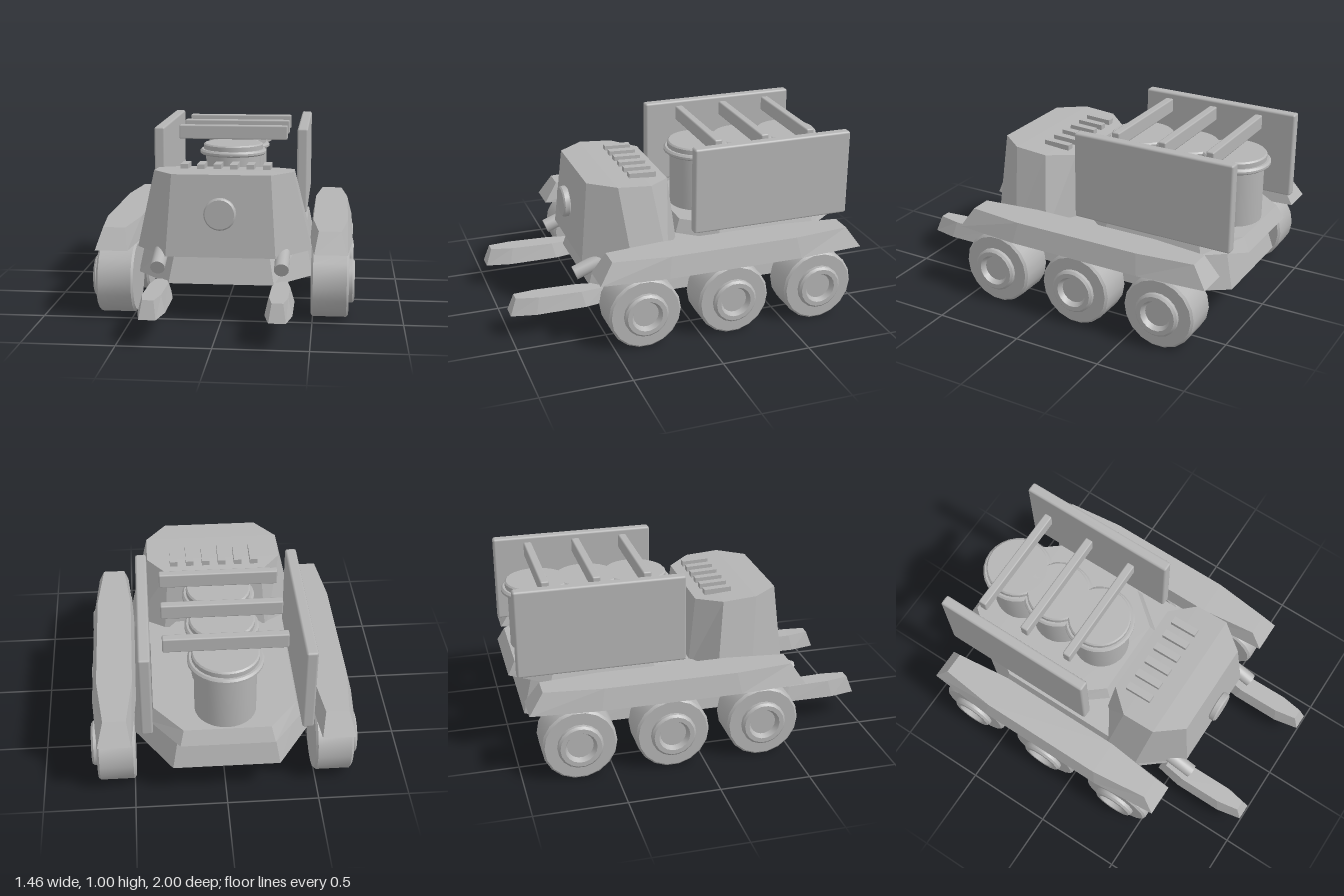
import * as THREE from 'three';
import { toCreasedNormals } from 'three/addons/utils/BufferGeometryUtils.js';
import { RoundedBoxGeometry } from 'three/addons/geometries/RoundedBoxGeometry.js';

// Octagonal ring, symmetric in x: narrow at the front and back, wide along the sides.
// zs = [front, front shoulder, back shoulder, back]; ys is one height or one per z.
function octagon(cx, endHalf, sideHalf, zs, ys) {
  const half = [endHalf, sideHalf, sideHalf, endHalf];
  const y = (i) => (Array.isArray(ys) ? ys[i] : ys);
  const ring = [];
  for (let i = 0; i < 4; i++) ring.push([cx + half[i], y(i), zs[i]]);
  for (let i = 3; i >= 0; i--) ring.push([cx - half[i], y(i), zs[i]]);
  return ring;
}

// Faceted solid through stacked rings, capped at both ends
function loft(rings) {
  const pos = [];
  const n = rings[0].length;
  const tri = (a, b, c) => pos.push(...a, ...b, ...c);
  for (let r = 0; r + 1 < rings.length; r++) {
    for (let i = 0; i < n; i++) {
      const j = (i + 1) % n, a = rings[r], b = rings[r + 1];
      tri(a[i], a[j], b[j]);
      tri(a[i], b[j], b[i]);
    }
  }
  const cap = (ring, up) => {
    for (let i = 0; i < n / 2 - 1; i++) {
      const a = ring[i], b = ring[i + 1], c = ring[n - 2 - i], d = ring[n - 1 - i];
      if (up) { tri(a, b, c); tri(a, c, d); } else { tri(a, c, b); tri(a, d, c); }
    }
  };
  cap(rings[0], false);
  cap(rings[rings.length - 1], true);
  const g = new THREE.BufferGeometry();
  g.setAttribute('position', new THREE.Float32BufferAttribute(pos, 3));
  g.computeVertexNormals();
  return g;
}

// Turned part with crisp edges, from [radius, height] pairs listed upwards
function turned(profile, sides) {
  const pts = profile.map(([r, y]) => new THREE.Vector2(r, y));
  return toCreasedNormals(new THREE.LatheGeometry(pts, sides), 0.5);
}

export function createModel() {
  const model = new THREE.Group();
  model.name = 'sixWheeledCarrier';
  const grey = new THREE.MeshStandardMaterial({ color: 0xb4b4b4 });
  grey.name = 'grey';

  const add = (name, geometry, x = 0, y = 0, z = 0) => {
    const mesh = new THREE.Mesh(geometry, grey);
    mesh.name = name;
    mesh.position.set(x, y, z);
    model.add(mesh);
    return mesh;
  };

  // Lower hull, widest at its base
  add('hull', loft([
    octagon(0, 0.29, 0.495, [0.53, 0.28, -0.62, -0.93], 0.22),
    octagon(0, 0.25, 0.45, [0.46, 0.24, -0.58, -0.87], 0.445),
  ]));

  // Raised rear deck, overhanging the hull
  add('rearDeck', loft([
    octagon(0, 0.25, 0.41, [0, -0.2, -0.79, -1.0], 0.445),
    octagon(0, 0.23, 0.385, [-0.03, -0.22, -0.77, -0.96], 0.52),
  ]));

  // Cab with a roof sloping down to the back
  add('cab', loft([
    octagon(0, 0.3, 0.49, [0.57, 0.33, 0.13, 0.01], 0.38),
    octagon(0, 0.27, 0.385, [0.525, 0.38, 0.19, 0.06], [0.827, 0.825, 0.811, 0.798]),
  ]));

  // Roof vents
  for (let i = 0; i < 6; i++) {
    const vent = add('roofVent', new THREE.BoxGeometry(0.043, 0.03, 0.155), (i - 2.5) * 0.093, 0.825, 0.197);
    vent.rotation.x = -0.04;
  }

  // Round lamp on the cab front
  const lamp = turned([[0, 0], [0.082, 0], [0.088, 0.006], [0.088, 0.032], [0.08, 0.04], [0, 0.04]], 20);
  lamp.rotateX(Math.PI / 2);
  add('frontLamp', lamp, 0, 0.623, 0.566);

  // Tanks on the deck, each under a cross bar
  const tank = turned([
    [0, 0.51], [0.165, 0.51], [0.165, 0.835], [0.19, 0.835], [0.2, 0.843], [0.2, 0.855],
    [0.19, 0.866], [0.178, 0.866], [0.178, 0.892], [0.17, 0.9], [0, 0.9],
  ], 28);
  for (const z of [-0.785, -0.505, -0.225]) {
    add('tank', tank, 0, 0, z);
    add('crossBar', new RoundedBoxGeometry(0.65, 0.084, 0.046, 1, 0.008), 0, 0.963, z);
  }

  // Wheel with a raised, hollow hub; its axis runs along x
  const wheel = turned([
    [0, 0.49], [0.192, 0.49], [0.204, 0.502], [0.204, 0.686], [0.192, 0.698], [0.124, 0.698],
    [0.124, 0.718], [0.112, 0.73], [0.087, 0.73], [0.072, 0.7], [0, 0.7],
  ], 18);
  wheel.rotateZ(-Math.PI / 2);

  for (const side of [1, -1]) {
    const label = side > 0 ? 'left' : 'right';

    for (const z of [0.33, -0.18, -0.69]) {
      add(label + 'Wheel', wheel, 0, 0.207, z).rotation.y = side > 0 ? 0 : Math.PI;
    }

    // Fender over the three wheels
    add(label + 'Fender', loft([
      octagon(side * 0.598, 0.09, 0.121, [0.575, 0.2, -0.57, -0.95], 0.407),
      octagon(side * 0.592, 0.062, 0.098, [0.5, 0.18, -0.55, -0.87], 0.522),
    ]));

    // Side board of the cargo bed
    add(label + 'SideBoard', new RoundedBoxGeometry(0.062, 0.495, 0.935, 1, 0.012), side * 0.42, 0.763, -0.507);

    // Prong reaching forward near the ground
    add(label + 'Prong', loft([
      octagon(side * 0.333, 0.045, 0.073, [1.0, 0.86, 0.58, 0.43], 0.148),
      octagon(side * 0.333, 0.03, 0.05, [0.965, 0.84, 0.6, 0.47], [0.244, 0.24, 0.234, 0.23]),
    ]));

    // Slanted pipe under the cab
    const pipe = toCreasedNormals(new THREE.CylinderGeometry(0.04, 0.04, 0.2, 16), 0.6);
    pipe.rotateX(Math.PI / 2 + 0.37);
    add(label + 'Pipe', pipe, side * 0.335, 0.367, 0.53);
  }
  return model;
}
